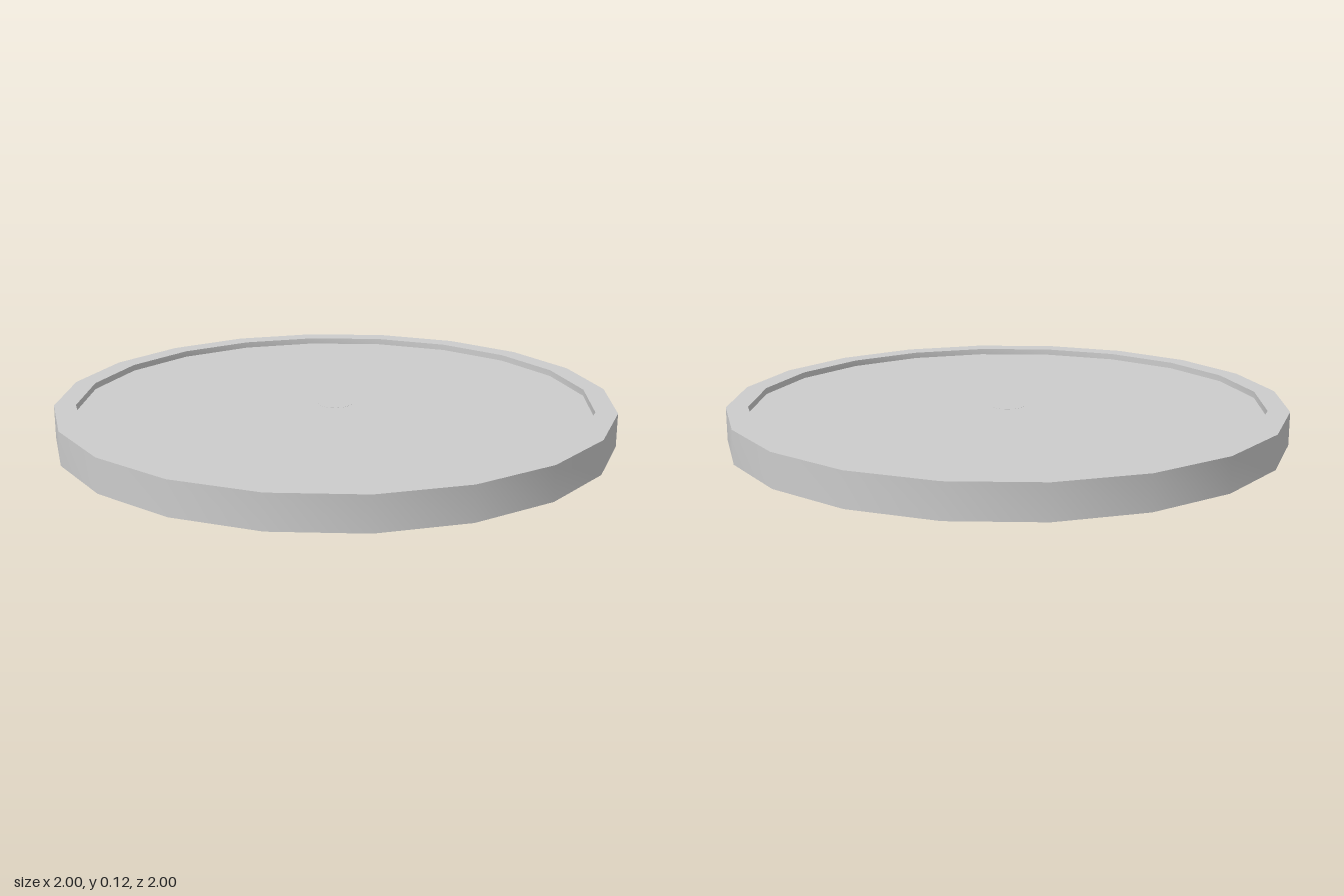
import * as THREE from 'three';
import { toCreasedNormals } from 'three/addons/utils/BufferGeometryUtils.js';

const SIDES = 20;
const FLOOR = 0.097;

export function createModel() {
  const group = new THREE.Group();
  group.name = 'tray';
  const material = new THREE.MeshStandardMaterial({ color: 0xcccccc });

  // Closed profile: base, outer wall, rim, inner step, recessed floor
  const profile = [
    [0, 0], [1, 0], [1, 0.12], [0.923, 0.12], [0.923, FLOOR], [0, FLOOR],
  ].map(([r, y]) => new THREE.Vector2(r, y));
  const dish = new THREE.Mesh(
    toCreasedNormals(new THREE.LatheGeometry(profile, SIDES), Math.PI / 6),
    material
  );
  dish.name = 'dish';
  group.add(dish);

  // Small hub set practically flush with the floor
  const hubHeight = 0.05;
  const hub = new THREE.Mesh(
    new THREE.CylinderGeometry(0.06, 0.06, hubHeight, SIDES),
    material
  );
  hub.name = 'centreHub';
  hub.position.y = FLOOR + 0.0005 - hubHeight / 2;
  group.add(hub);

  return group;
}
